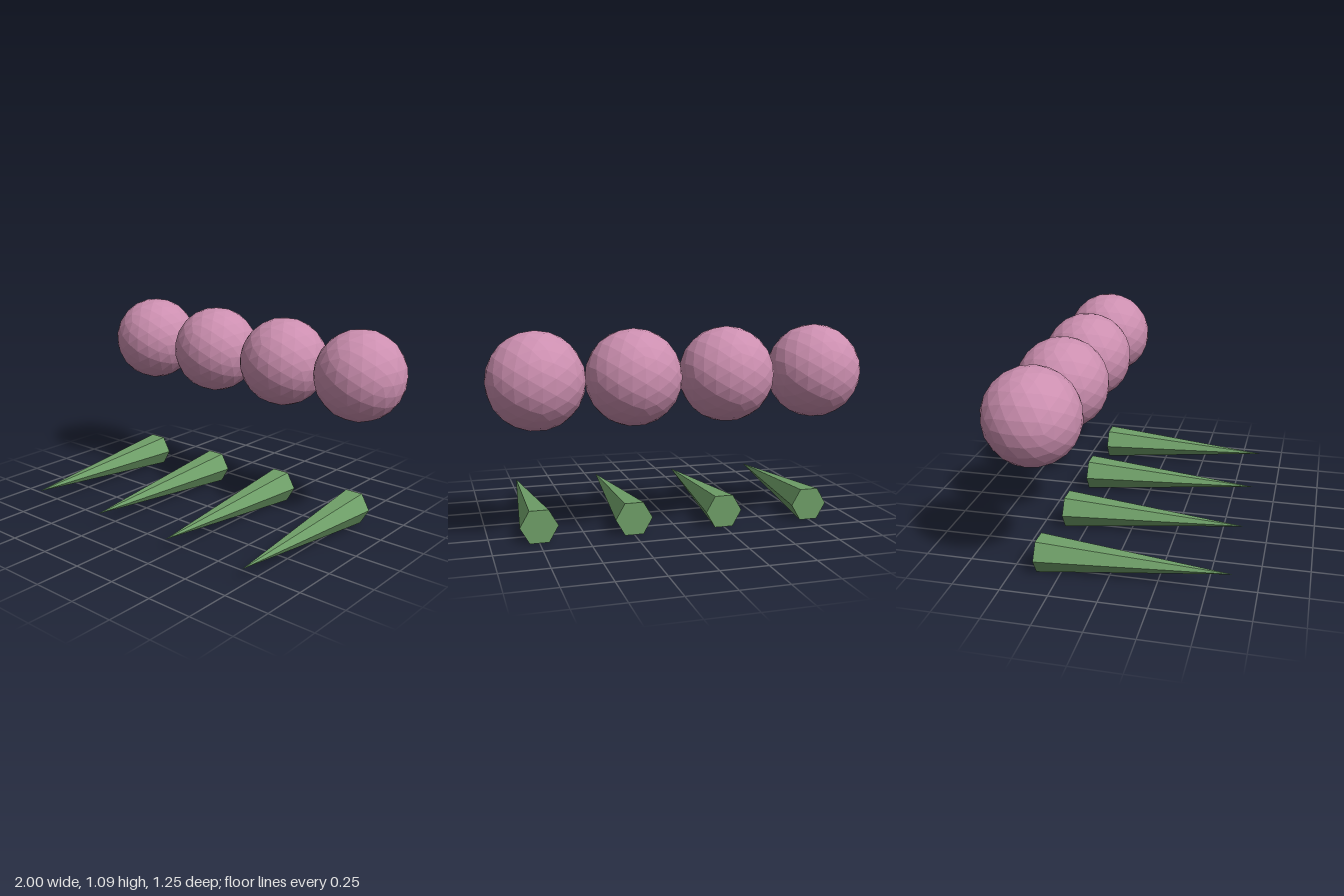
import * as THREE from 'three';

const SPACING = 0.5;
const BACK_Z = -0.375;
const SPIKE_Y = 0.0866;

export function createModel() {
  const group = new THREE.Group();
  const pink = new THREE.MeshStandardMaterial({ color: 0xcc8fb0, flatShading: true });
  const green = new THREE.MeshStandardMaterial({ color: 0x6f9f68, flatShading: true });

  // faceted ball of 320 triangles
  const ballGeometry = new THREE.IcosahedronGeometry(0.25, 3);

  // six-sided spike with corners at left and right, base at the back, tip to the front
  const spikeGeometry = new THREE.ConeGeometry(0.1, 1, 6, 1, false, Math.PI / 2);
  spikeGeometry.rotateX(Math.PI / 2).translate(0, 0, 0.5);

  // row of four balls, each above the base of its spike
  for (let i = 0; i < 4; i++) {
    const x = (i - 1.5) * SPACING;

    const ball = new THREE.Mesh(ballGeometry, pink);
    ball.name = `ball${i + 1}`;
    ball.position.set(x, SPIKE_Y + 0.75, BACK_Z);

    const spike = new THREE.Mesh(spikeGeometry, green);
    spike.name = `spike${i + 1}`;
    spike.position.set(x, SPIKE_Y, BACK_Z);

    group.add(ball, spike);
  }
  return group;
}
